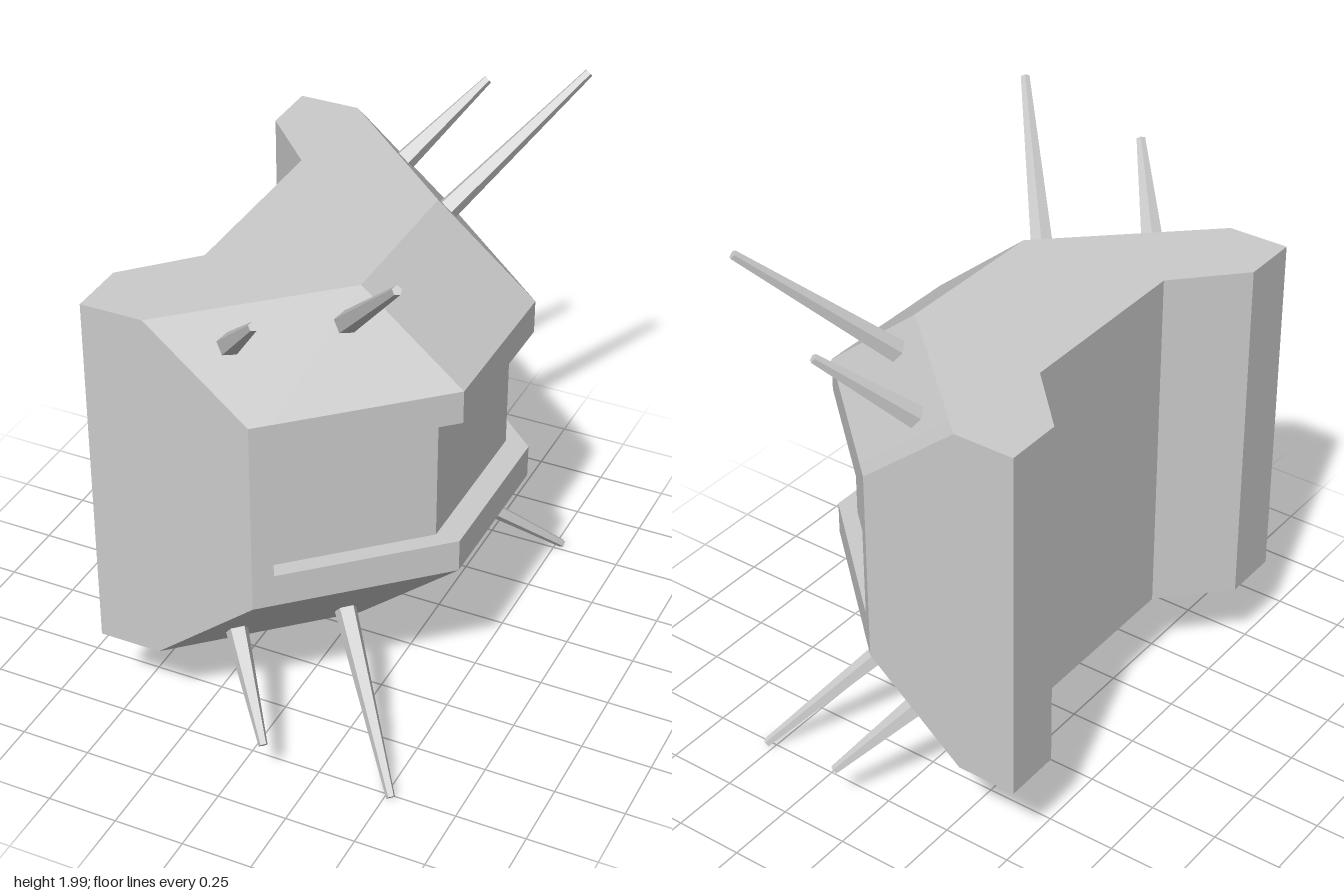
import * as THREE from 'three';

const grey = () => new THREE.MeshStandardMaterial({
  color: 0xcccccc, flatShading: true, side: THREE.DoubleSide,
});

// Plan outline as [x, z]; bevel pulls the whole front back, notch only the window band
function plan(bevel, notch) {
  const half = [
    [-0.55, 0.78],
    [0.03 - bevel, 0.78],
    [0.084 - bevel, 0.73],
    [0.084 - bevel - notch, 0.73],
    [0.55 - bevel - notch, 0.3],
  ];
  const back = [[-0.55, -0.57], [-0.34, -0.35], [-0.34, 0.35], [-0.55, 0.57]];
  const mirrored = half.map(([x, z]) => [x, -z]).reverse();
  return [...half, ...mirrored, ...back];
}

// Stacked outlines; two at the same height form the ledges of the window recess
function bodyGeometry() {
  const layers = [
    [0.35, 0.36, 0], [0.65, 0, 0], [0.77, 0, 0], [0.77, 0, 0.085],
    [1.24, 0, 0.085], [1.24, 0, 0], [1.36, 0, 0], [1.66, 0.36, 0],
  ];
  const rings = layers.map(([y, bevel, notch]) =>
    plan(bevel, notch).map(([x, z]) => new THREE.Vector3(x, y, z)));
  const positions = [];
  const triangle = (a, b, c) => {
    if (new THREE.Triangle(a, b, c).getArea() < 1e-7) return;
    for (const p of [a, b, c]) positions.push(p.x, p.y, p.z);
  };

  // Walls between neighbouring outlines
  for (let k = 0; k < rings.length - 1; k++) {
    const low = rings[k], high = rings[k + 1], n = low.length;
    for (let i = 0; i < n; i++) {
      const j = (i + 1) % n;
      triangle(low[i], low[j], high[j]);
      triangle(low[i], high[j], high[i]);
    }
  }

  // Flat top and bottom
  const bottom = rings[0], top = rings[rings.length - 1];
  const contour = top.map((p) => new THREE.Vector2(p.x, -p.z));
  for (const [a, b, c] of THREE.ShapeUtils.triangulateShape(contour, [])) {
    triangle(top[a], top[b], top[c]);
    triangle(bottom[a], bottom[c], bottom[b]);
  }

  const geometry = new THREE.BufferGeometry();
  geometry.setAttribute('position', new THREE.Float32BufferAttribute(positions, 3));
  geometry.computeVertexNormals();
  return geometry;
}

// Five-sided tapered spike from base to tip, mirrored by the signs sy and sz
function spike(name, base, tip, sy, sz) {
  const place = ([x, y, z]) => new THREE.Vector3(x, 1.005 + sy * (y - 1.005), sz * z);
  const from = place(base), to = place(tip);
  const axis = to.clone().sub(from);
  const geometry = new THREE.CylinderGeometry(
    0.016, 0.04, axis.length(), 5, 1, false, sy * sz > 0 ? 0 : Math.PI);
  if (sy < 0) geometry.rotateX(Math.PI);
  const mesh = new THREE.Mesh(geometry, grey());
  mesh.name = name;
  mesh.position.copy(from).add(to).multiplyScalar(0.5);
  mesh.quaternion.setFromUnitVectors(new THREE.Vector3(0, sy, 0), axis.normalize());
  return mesh;
}

export function createModel() {
  const model = new THREE.Group();
  model.name = 'spikedArmourPlate';

  const body = new THREE.Mesh(bodyGeometry(), grey());
  body.name = 'body';
  model.add(body);

  // A long and a short spike on each bevelled corner
  const spikes = new THREE.Group();
  spikes.name = 'spikes';
  for (const sy of [1, -1]) {
    for (const sz of [1, -1]) {
      spikes.add(spike('longSpike', [0.182, 1.572, 0.398], [0.525, 1.987, 0.772], sy, sz));
      spikes.add(spike('shortSpike', [-0.095, 1.566, 0.66], [0.115, 1.82, 0.89], sy, sz));
    }
  }
  model.add(spikes);
  return model;
}
